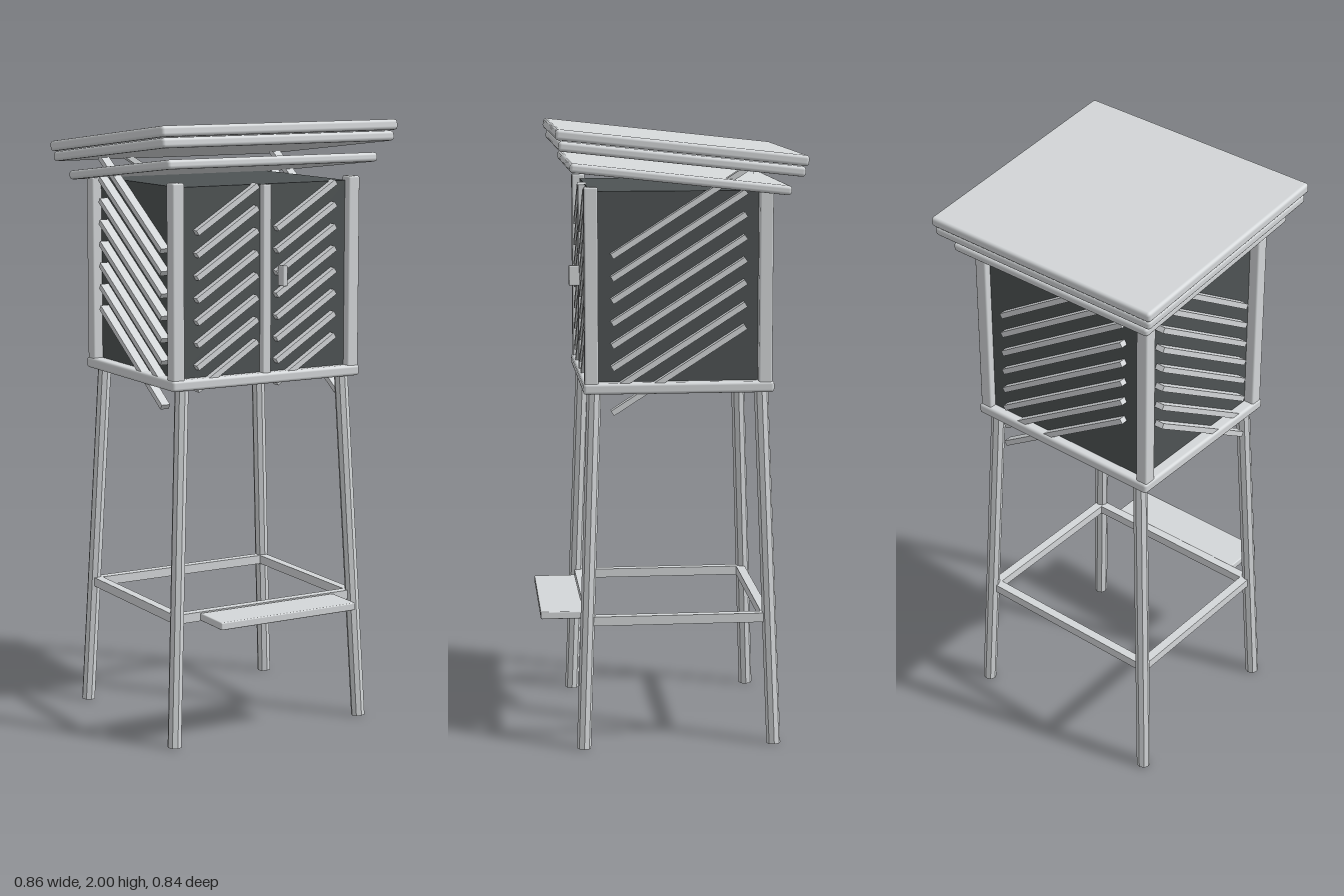
import * as THREE from 'three';
import { RoundedBoxGeometry } from 'three/addons/geometries/RoundedBoxGeometry.js';

const MID = -0.0225; // depth centre of the cabinet and stand

export function createModel() {
  const group = new THREE.Group();
  const paint = new THREE.MeshStandardMaterial({ color: 0xd4d7d9 });
  paint.name = 'pale grey paint';
  const dark = new THREE.MeshStandardMaterial({ color: 0x4e5354 });
  dark.name = 'dark grey panel';

  function add(name, geometry, material, x, y, z) {
    const mesh = new THREE.Mesh(geometry, material);
    mesh.name = name;
    mesh.position.set(x, y, z);
    group.add(mesh);
    return mesh;
  }
  const box = (name, w, h, d, x, y, z, material = paint) =>
    add(name, new THREE.BoxGeometry(w, h, d), material, x, y, z);
  const board = (name, w, h, d, x, y, z, r = 0.008) =>
    add(name, new RoundedBoxGeometry(w, h, d, 2, r), paint, x, y, z);

  // Splayed legs
  const up = new THREE.Vector3(0, 1, 0);
  const legShape = new THREE.CylinderGeometry(0.023, 0.023, 1, 8).toNonIndexed();
  legShape.computeVertexNormals();
  for (const sx of [-1, 1]) for (const sz of [-1, 1]) {
    const foot = new THREE.Vector3(sx * 0.353, 0.001, MID + sz * 0.31);
    const top = new THREE.Vector3(sx * 0.299, 1.17, MID + sz * 0.268);
    const dir = top.clone().sub(foot);
    const mid = foot.clone().add(top).multiplyScalar(0.5);
    const leg = add(sz > 0 ? 'frontLeg' : 'backLeg', legShape, paint, mid.x, mid.y, mid.z);
    leg.scale.y = dir.length();
    leg.quaternion.setFromUnitVectors(up, dir.normalize());
  }

  // Braces between the legs, and the step
  for (const s of [-1, 1]) {
    box(s > 0 ? 'frontBrace' : 'backBrace', 0.65, 0.03, 0.03, 0, 0.42, MID + s * 0.285);
    box('sideBrace', 0.03, 0.03, 0.57, s * 0.328, 0.42, MID);
  }
  board('step', 0.506, 0.025, 0.14, 0, 0.42, 0.35, 0.004);

  // Floor and dark cabinet
  board('floor', 0.70, 0.036, 0.61, 0, 1.178, MID, 0.01);
  box('cabinet', 0.626, 0.605, 0.55, 0, 1.4975, MID, dark);

  // Corner posts, door stile and handle
  for (const s of [-1, 1]) {
    board('frontPost', 0.042, 0.63, 0.044, s * 0.325, 1.5, 0.256, 0.006);
    board('backPost', 0.042, 0.62, 0.044, s * 0.325, 1.49, -0.299, 0.006);
  }
  board('doorStile', 0.03, 0.61, 0.025, -0.002, 1.495, 0.264, 0.004);
  board('doorHandle', 0.018, 0.066, 0.036, 0.046, 1.508, 0.292, 0.004);

  // Slanted slats on every face
  const SLANT = 0.57;
  const slatShape = (span) => new THREE.BoxGeometry(span / Math.cos(SLANT), 0.018, 0.03);
  const doorSlat = slatShape(0.22), sideSlat = slatShape(0.425), backSlat = slatShape(0.49);
  for (let i = 0; i < 8; i++) {
    const y = 1.235 + i * 0.0712;
    for (const s of [-1, 1]) {
      add('doorSlat', doorSlat, paint, s * 0.146, y - 0.006, 0.261).rotation.z = SLANT;
      add('sideSlat', sideSlat, paint, s * 0.328, y, MID).rotation.set(0, Math.PI / 2, SLANT, 'YXZ');
    }
    add('backSlat', backSlat, paint, 0, y, -0.305).rotation.z = -SLANT;
  }

  // Double roof, falling to the back
  const roof = [
    ['upperRoof', 0.864, 0.034, 0.793, 1.94],
    ['middleRoof', 0.85, 0.032, 0.775, 1.905],
    ['lowerRoof', 0.772, 0.03, 0.70, 1.84],
  ];
  for (const [name, w, h, d, y] of roof) {
    board(name, w, h, d, 0, y, -0.025, 0.011).rotation.x = -0.108;
  }
  return group;
}
